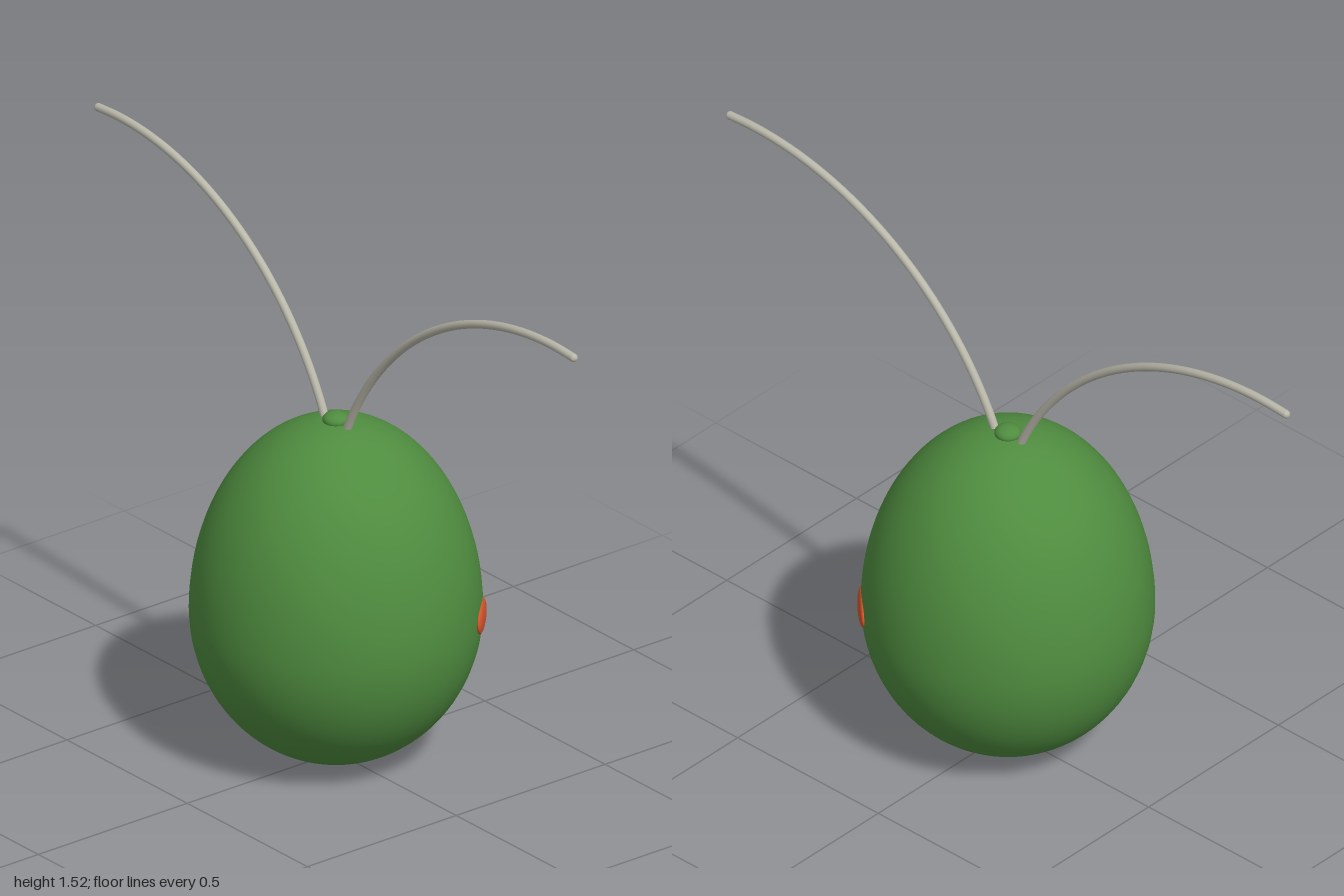
import * as THREE from 'three';

export function createModel() {
  const model = new THREE.Group();
  const material = (name, color) => {
    const m = new THREE.MeshStandardMaterial({ color });
    m.name = name;
    return m;
  };
  const green = material('leaf green', 0x4f8c3f);
  const grey = material('warm grey', 0xbab8aa);
  const orange = material('burnt orange', 0xd4552c);

  const add = (name, geometry, mat, parent = model) => {
    const mesh = new THREE.Mesh(geometry, mat);
    mesh.name = name;
    parent.add(mesh);
    return mesh;
  };

  // Egg body: a sphere with a shorter lower half and a taller upper half
  const radius = 0.385, waist = 0.42, top = 0.96;
  const egg = new THREE.SphereGeometry(1, 64, 48);
  const pos = egg.attributes.position, normal = egg.attributes.normal;
  const n = new THREE.Vector3();
  for (let i = 0; i < pos.count; i++) {
    const x = pos.getX(i), y = pos.getY(i), z = pos.getZ(i);
    const h = y > 0 ? top - waist : waist;
    pos.setXYZ(i, x * radius, waist + y * h, z * radius);
    n.set(x / radius, y / h, z / radius).normalize();
    normal.setXYZ(i, n.x, n.y, n.z);
  }
  add('body', egg, green);

  // Small flattened knob on the crown
  const knob = add('crownKnob', new THREE.SphereGeometry(1, 32, 16), green);
  knob.scale.set(0.036, 0.021, 0.036);
  knob.position.y = 0.962;

  // Oval spot on the back left of the body
  const spot = add('ovalSpot', new THREE.SphereGeometry(1, 32, 20), orange);
  spot.scale.set(0.072, 0.042, 0.012);
  spot.position.set(0.27, 0.413, -0.27);
  spot.rotation.y = Math.PI * 0.75;

  // Pair of arching feelers with rounded tips
  const cx = 0.9, cy = 0.57, arcRadius = 0.935, thickness = 0.0115;
  const startAngle = Math.PI - Math.acos((cx - 0.035) / arcRadius);
  const endAngle = Math.acos((0.988 - cx) / arcRadius);
  for (const [side, label] of [[1, 'left'], [-1, 'right']]) {
    const points = [];
    for (let i = 0; i <= 16; i++) {
      const a = THREE.MathUtils.lerp(startAngle, endAngle, i / 16);
      points.push(new THREE.Vector3(
        side * (cx + Math.cos(a) * arcRadius), cy + Math.sin(a) * arcRadius, 0));
    }
    const feeler = new THREE.Group();
    feeler.name = label + 'Feeler';
    const curve = new THREE.CatmullRomCurve3(points);
    add('stalk', new THREE.TubeGeometry(curve, 64, thickness, 16), grey, feeler);
    add('tip', new THREE.SphereGeometry(thickness, 16, 12), grey, feeler)
      .position.copy(points[16]);
    model.add(feeler);
  }
  return model;
}
